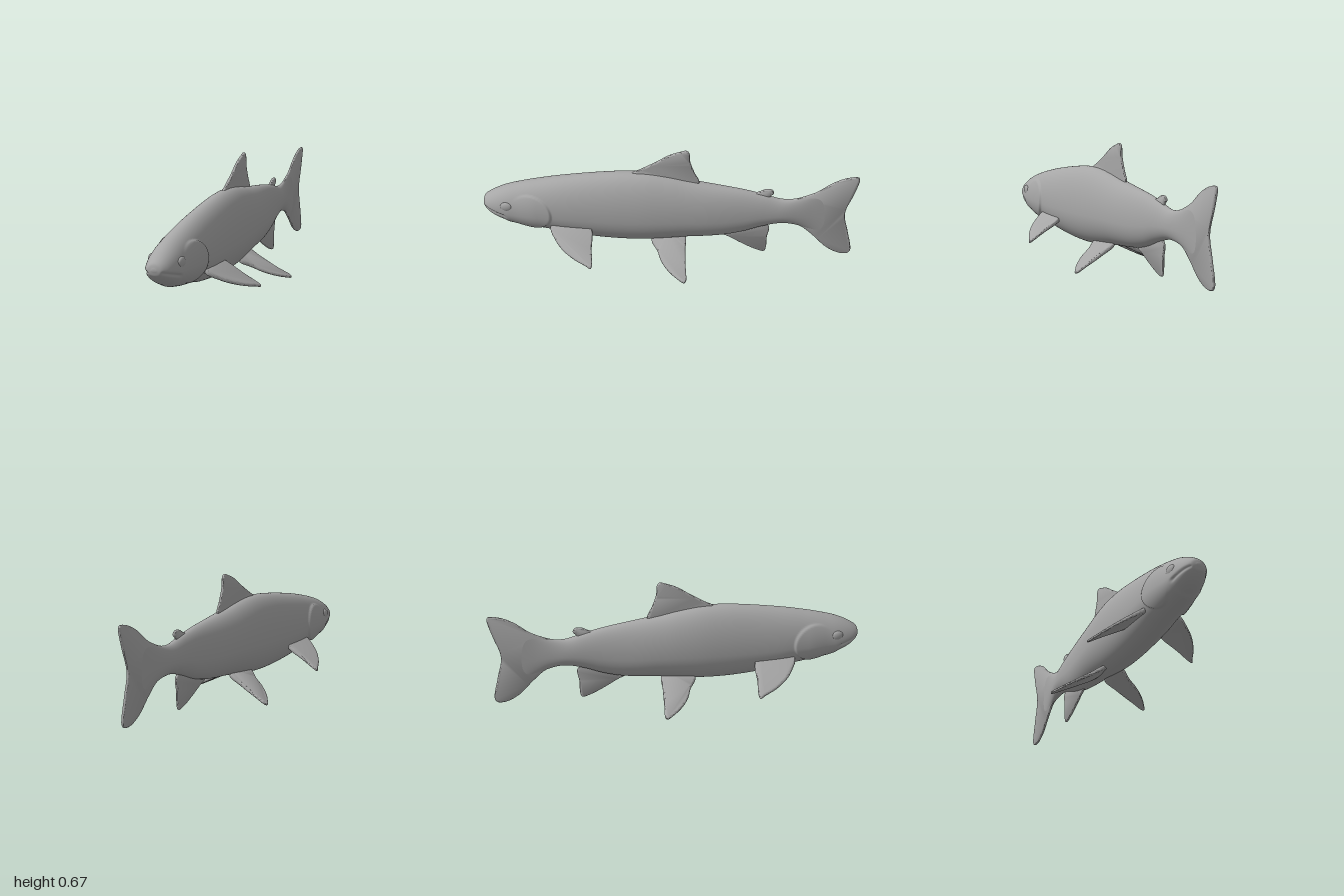
import * as THREE from 'three';
import { toCreasedNormals } from 'three/addons/utils/BufferGeometryUtils.js';

const grey = new THREE.MeshStandardMaterial({ color: 0xa6a6a6 });
grey.name = 'plain grey';

const { smoothstep } = THREE.MathUtils;

// Body stations from nose to tail: z, top, bottom, half width
const STATIONS = [
  [1, .302, .288, .012], [.992, .325, .262, .04], [.97, .343, .237, .06],
  [.93, .367, .208, .077], [.87, .394, .182, .09], [.8, .416, .165, .097],
  [.74, .432, .155, .101], [.68, .446, .147, .104], [.62, .459, .137, .107],
  [.55, .472, .122, .11], [.4, .496, .104, .113], [.25, .513, .096, .115],
  [.12, .515, .1, .114], [0, .5, .114, .108], [-.1, .481, .127, .1],
  [-.2, .465, .135, .09], [-.3, .451, .147, .077], [-.4, .435, .172, .063],
  [-.5, .413, .21, .05], [-.6, .387, .235, .038], [-.68, .395, .226, .026],
  [-.76, .422, .195, .015], [-.86, .47, .135, .004],
];

// Surface relief of the head: gill cover, mouth groove, inset lower jaw
function headRelief(y, z) {
  if (z < .55) return 0;
  const e = Math.hypot((z - .74) / .12, (y - .28) / .105);
  const gill = .009 * (1 - smoothstep(e, .93, 1.02)) * (1 - smoothstep(z, .7, .85));
  const mouthY = .285 - .3 * (1 - z);
  const reach = smoothstep(z, .86, .89) * (1 - smoothstep(z, .985, 1));
  const groove = .009 * Math.exp(-(((y - mouthY) / .008) ** 2)) * reach;
  const jaw = .004 * (1 - smoothstep(y, mouthY - .01, mouthY)) * reach;
  return gill - groove - jaw;
}

function bodyGeometry() {
  const curve = (f) => new THREE.CatmullRomCurve3(STATIONS.map(f));
  const outline = curve(([z, top, bottom]) => new THREE.Vector3(z, top, bottom));
  const girth = curve(([z, , , w]) => new THREE.Vector3(z, w, 0));
  const rings = (STATIONS.length - 1) * 12, sides = 120;
  const pos = [], index = [];
  for (let i = 0; i <= rings; i++) {
    const { x: z, y: top, z: bottom } = outline.getPoint(i / rings);
    const w = girth.getPoint(i / rings).y;
    const mid = bottom + (top - bottom) * .4; // widest below the middle
    for (let j = 0; j < sides; j++) {
      const a = j / sides * Math.PI * 2, c = Math.cos(a), s = Math.sin(a);
      const y = mid + s * (s > 0 ? top - mid : mid - bottom);
      const d = headRelief(y, z);
      pos.push(c * (w + d), y + s * d, z);
      if (i < rings) {
        const p = i * sides + j, q = i * sides + (j + 1) % sides;
        index.push(p, p + sides, q, p + sides, q + sides, q);
      }
    }
  }
  // Close the nose and the tail end
  const nose = pos.length / 3, last = rings * sides;
  pos.push(0, .295, 1.001, 0, .3, -.86);
  for (let j = 0; j < sides; j++) {
    const k = (j + 1) % sides;
    index.push(nose, j, k, nose + 1, last + k, last + j);
  }
  const g = new THREE.BufferGeometry();
  g.setAttribute('position', new THREE.Float32BufferAttribute(pos, 3));
  g.setIndex(index);
  g.computeVertexNormals();
  return g;
}

// Thin plate with a rounded rim, from a smooth closed outline
function finPlate(points, half) {
  const loop = new THREE.CatmullRomCurve3(
    points.map(([a, b]) => new THREE.Vector3(a, b, 0)), true);
  const shape = new THREE.Shape(loop.getPoints(72).slice(0, -1).map((p) => new THREE.Vector2(p.x, p.y)));
  const g = new THREE.ExtrudeGeometry(shape, {
    depth: half * .4, bevelThickness: half * .8, bevelSize: half,
    bevelOffset: -half, bevelSegments: 4, curveSegments: 1,
  });
  return g.translate(0, 0, -half * .2);
}

// Upright fin in the middle plane; outline in (z, y)
function uprightFin(points, half) {
  return toCreasedNormals(finPlate(points, half).rotateY(-Math.PI / 2), 1);
}

// Side fin; outline in (x, z), sloping down outwards and thicker at the root
function sideFin(points, side, half, rootX, rootY, slope, sag) {
  const g = finPlate(points.map(([x, z]) => [x * side, z]), half).rotateX(Math.PI / 2);
  const p = g.attributes.position;
  for (let i = 0; i < p.count; i++) {
    const out = Math.abs(p.getX(i)) - rootX;
    const thick = 1 + Math.max(0, .15 - out) * 5;
    p.setY(i, p.getY(i) * thick + rootY - slope * out - sag * Math.sin(out * 14));
  }
  return toCreasedNormals(g, 1);
}

const DORSAL = [[.2, .505], [.14, .545], [.07, .588], [0, .635], [-.06, .66], [-.092, .669],
  [-.107, .655], [-.113, .6], [-.135, .535], [-.162, .47], [-.13, .44], [.1, .46]];
const ADIPOSE = [[-.44, .41], [-.48, .43], [-.515, .447], [-.545, .445], [-.557, .425],
  [-.54, .405], [-.53, .375], [-.47, .37]];
const ANAL = [[-.27, .155], [-.33, .12], [-.4, .08], [-.47, .046], [-.52, .034], [-.53, .06],
  [-.532, .13], [-.542, .195], [-.53, .217], [-.5, .25], [-.4, .23], [-.3, .19]];
const TAIL = [[-.62, .37], [-.7, .403], [-.78, .442], [-.86, .505], [-.93, .54], [-.99, .549],
  [-.998, .535], [-.975, .44], [-.937, .312], [-.96, .2], [-.985, .07], [-.97, .048],
  [-.92, .048], [-.85, .085], [-.78, .155], [-.71, .215], [-.62, .25]];
const PECTORAL = [[.06, .6], [.1, .628], [.15, .602], [.2, .56], [.25, .49], [.28, .425],
  [.295, .392], [.28, .386], [.2, .396], [.11, .402], [.07, .43]];
const PELVIC = [[.03, .08], [.06, .088], [.11, .053], [.16, .03], [.21, -.01], [.25, -.06],
  [.273, -.103], [.262, -.113], [.2, -.107], [.1, -.098], [.03, -.09]];

export function createModel() {
  const fish = new THREE.Group();
  fish.name = 'fish';
  const add = (name, geometry) => {
    const mesh = new THREE.Mesh(geometry, grey);
    mesh.name = name;
    fish.add(mesh);
    return mesh;
  };

  add('body', bodyGeometry());
  add('dorsalFin', uprightFin(DORSAL, .008));
  add('adiposeFin', uprightFin(ADIPOSE, .008));
  add('analFin', uprightFin(ANAL, .007));
  add('tailFin', uprightFin(TAIL, .007));

  // Paired fins and eyes
  for (const [label, side] of [['left', 1], ['right', -1]]) {
    add(label + 'PectoralFin', sideFin(PECTORAL, side, .008, .1, .2, .56, 0));
    add(label + 'PelvicFin', sideFin(PELVIC, side, .008, .05, .122, .52, .004));
    const eye = add(label + 'Eye', new THREE.SphereGeometry(1, 32, 20));
    eye.scale.set(.014, .027, .033);
    eye.position.set(side * .079, .31, .865);
    eye.rotation.y = side * -.12;
  }
  return fish;
}
